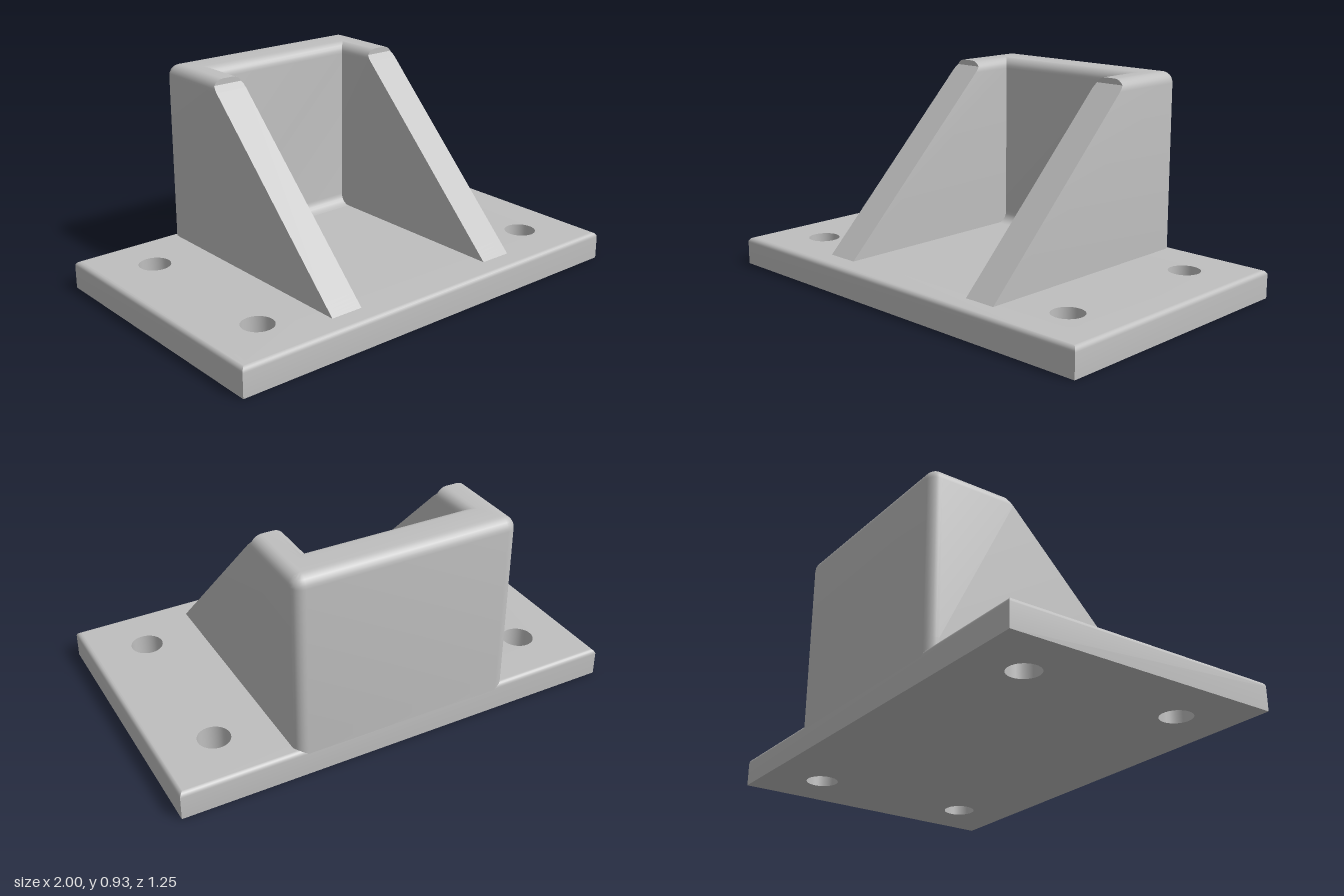
import * as THREE from 'three';
import { mergeGeometries, toCreasedNormals } from 'three/addons/utils/BufferGeometryUtils.js';

const STEPS = 6; // segments per quarter round

// Skin a list of closed rings, each an array of [x, y, z], bottom to top
function loft(rings) {
  const pos = [];
  for (let k = 0; k < rings.length - 1; k++) {
    const lo = rings[k], hi = rings[k + 1], n = lo.length;
    for (let i = 0; i < n; i++) {
      const j = (i + 1) % n;
      pos.push(...lo[i], ...lo[j], ...hi[j], ...lo[i], ...hi[j], ...hi[i]);
    }
  }
  const g = new THREE.BufferGeometry();
  g.setAttribute('position', new THREE.Float32BufferAttribute(pos, 3));
  return g;
}

// Flat face over a ring, facing up or down, with optional holes
function cap(ring, up, holes = []) {
  const s = up ? -1 : 1;
  const shape = new THREE.Shape(ring.map(([x, , z]) => new THREE.Vector2(x, s * z)));
  for (const [x, z, r] of holes) {
    shape.holes.push(new THREE.Path().absarc(x, s * z, r, 0, Math.PI * 2, true));
  }
  const g = new THREE.ShapeGeometry(shape, 16).rotateX(s * Math.PI / 2).translate(0, ring[0][1], 0).toNonIndexed();
  g.deleteAttribute('uv');
  g.deleteAttribute('normal');
  return g;
}

// Heights and insets of a rounded top edge
function roundOver(top, r) {
  return Array.from({ length: STEPS + 1 }, (_, i) => {
    const a = (i / STEPS) * Math.PI / 2;
    return [top - r + r * Math.sin(a), r * (1 - Math.cos(a))];
  });
}

export function createModel() {
  const model = new THREE.Group();
  const grey = new THREE.MeshStandardMaterial({ color: 0xbfbfbf });
  grey.name = 'plain grey';
  const add = (name, geometry) => {
    const mesh = new THREE.Mesh(geometry, grey);
    mesh.name = name;
    model.add(mesh);
  };

  // Base plate with rounded top edges and four bolt holes
  const W = 1, D = 0.625, H = 0.125;
  const holes = [];
  for (const x of [-0.75, 0.75]) for (const z of [-0.375, 0.375]) holes.push([x, z, 0.07]);
  const rect = (y, d) => [[-W + d, y, D - d], [W - d, y, D - d], [W - d, y, -D + d], [-W + d, y, -D + d]];
  const plate = [rect(0, 0), ...roundOver(H, 0.022).map(([y, d]) => rect(y, d))];
  add('basePlate', toCreasedNormals(mergeGeometries([
    loft(plate), cap(plate.at(-1), true, holes), cap(plate[0], false, holes),
  ]), 0.5));

  // Bolt hole walls, facing inwards
  for (const [x, z, r] of holes) {
    const bore = new THREE.CylinderGeometry(r, r, H, 32, 1, true).scale(-1, 1, 1);
    const index = bore.index.array;
    const normal = bore.attributes.normal;
    // the mirrored winding already faces inwards, so only the normals are turned
    for (let i = 0; i < normal.count; i++) {
      const p = bore.attributes.position;
      normal.setXYZ(i, -p.getX(i) / r, 0, -p.getZ(i) / r);
    }
    bore.setIndex(Array.from(index));
    add('boltHole', bore.translate(x, H / 2, z));
  }

  // Upright: back wall and two sloping side walls as one U-shaped section
  const OUT = 0.5, IN = 0.35, BACK = -0.43, R = 0.05, TOP = 0.925;
  const section = (y, d, fillet = 0) => {
    const front = Math.max(-0.25, 0.65 - y);
    const back = BACK - d + fillet;
    const ring = [
      [-OUT + d, y, front], [-IN - d, y, front], [-IN - d, y, back],
      [IN + d, y, back], [IN + d, y, front], [OUT - d, y, front],
    ];
    const r = Math.max(R - d, 0.0005);
    for (const side of [1, -1]) {
      for (let i = 0; i <= STEPS; i++) {
        const t = (i / STEPS) * Math.PI / 2;
        const a = side > 0 ? t : Math.PI / 2 - t;
        ring.push([side * (OUT - d - r + r * Math.cos(a)), y, -D + d + r - r * Math.sin(a)]);
      }
    }
    return ring;
  };
  const rings = [section(0.09, 0, R)];
  // hollow round where the back wall meets the floor
  for (let i = 0; i <= STEPS; i++) {
    const t = (1 - i / STEPS) * Math.PI / 2;
    rings.push(section(H + R - R * Math.sin(t), 0, R - R * Math.cos(t)));
  }
  rings.push(...roundOver(TOP, R).map(([y, d]) => section(y, d)));
  add('uprightWalls', toCreasedNormals(mergeGeometries([loft(rings), cap(rings.at(-1), true)]), 0.5));

  return model;
}
